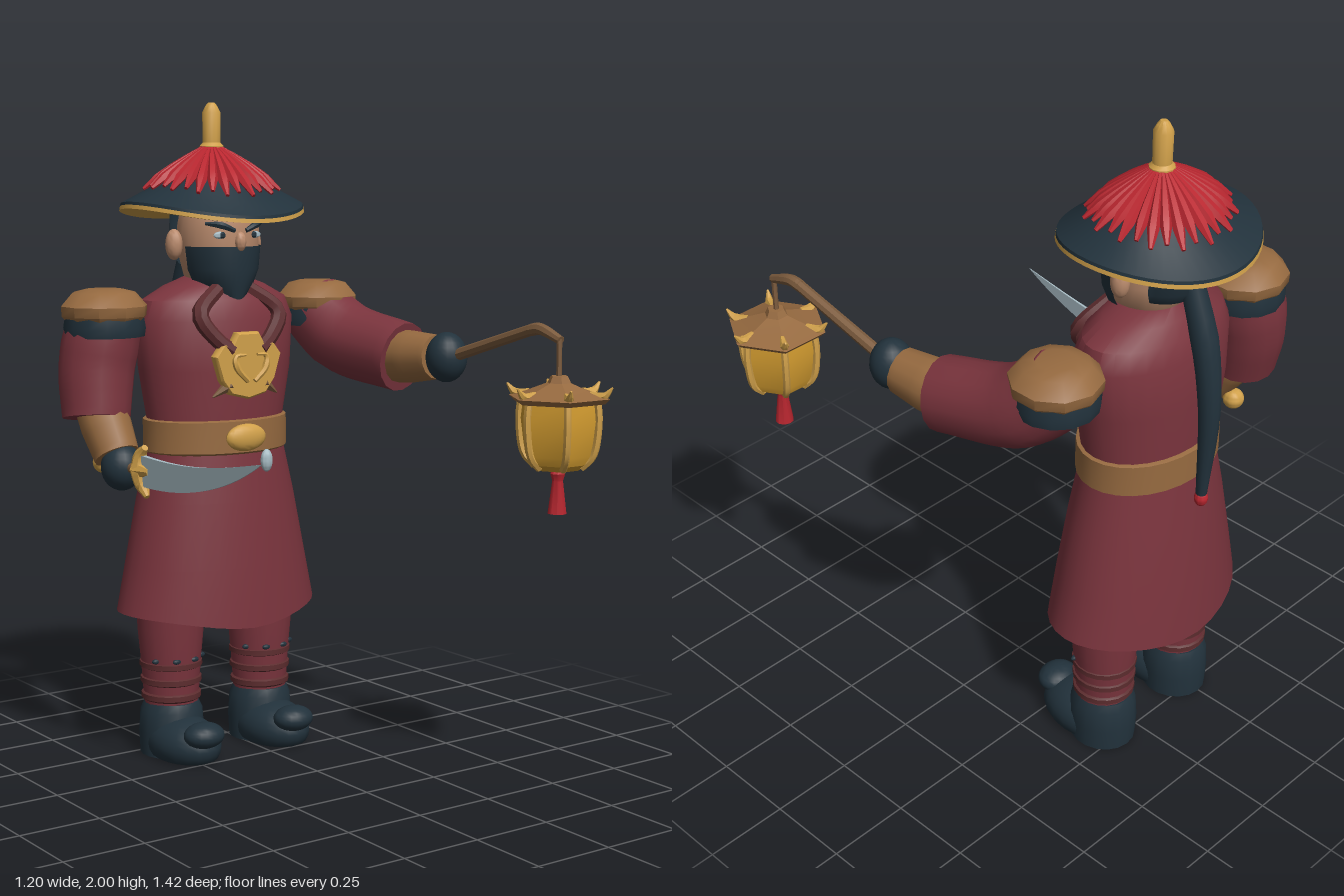
import * as THREE from 'three';
import { toCreasedNormals } from 'three/addons/utils/BufferGeometryUtils.js';

const mat = (name, color, side = THREE.FrontSide) => {
  const m = new THREE.MeshStandardMaterial({ color, side });
  m.name = name;
  return m;
};
const V = (p) => new THREE.Vector3(...p);

export function createModel() {
  const robe = mat('robe red', 0x7a343d, THREE.DoubleSide);
  const dark = mat('dark cloth', 0x22323c, THREE.DoubleSide);
  const leather = mat('tan leather', 0x966a40);
  const gold = mat('gold', 0xd0a04a, THREE.DoubleSide);
  const glow = mat('lantern amber', 0xd39c30);
  const red = mat('bright red', 0xb8262f);
  const skin = mat('skin', 0xb98a6c);
  const steel = mat('steel', 0xa6bac2);
  const strap = mat('dark maroon strap', 0x5c2c2e);
  const wood = mat('wood', 0x7d5c3e);

  const model = new THREE.Group();
  const CX = -0.08, CZ = -0.435;
  const add = (name, geo, material, parent = model, crease = 0.7) => {
    const m = new THREE.Mesh(toCreasedNormals(geo, crease), material);
    m.name = name;
    parent.add(m);
    return m;
  };
  const group = (name, x = 0, y = 0, z = 0) => {
    const g = new THREE.Group();
    g.name = name;
    g.position.set(x, y, z);
    model.add(g);
    return g;
  };
  // Stacked elliptical rings, top to bottom: [y, rx, rz, centreZ]
  const loft = (rings, n = 28, open = false, start = 0, sweep = Math.PI * 2) => {
    const g = new THREE.CylinderGeometry(1, 1, 1, n, rings.length - 1, open, start, sweep);
    const p = g.attributes.position;
    for (let i = 0; i < p.count; i++) {
      const [y, rx, rz = rx, cz = 0] = rings[Math.round((0.5 - p.getY(i)) * (rings.length - 1))];
      p.setXYZ(i, p.getX(i) * rx, y, p.getZ(i) * rz + cz);
    }
    return g;
  };
  // Closed tube along points, with radii spread evenly along it
  const limb = (points, radii, n = 12, seg = 14) => {
    const curve = points.length > 2 ? new THREE.CatmullRomCurve3(points.map(V)) : new THREE.LineCurve3(...points.map(V));
    const g = new THREE.TubeGeometry(curve, seg, 1, n);
    const p = g.attributes.position, v = new THREE.Vector3();
    for (let i = 0; i < p.count; i++) {
      const ring = Math.floor(i / (n + 1));
      const u = Math.min(1, Math.max(0, (ring - 1) / (seg - 2)));
      const f = u * (radii.length - 1), k = Math.min(radii.length - 2, Math.floor(f));
      const r = ring === 0 || ring === seg ? 0 : THREE.MathUtils.lerp(radii[k], radii[k + 1], f - k);
      v.fromBufferAttribute(p, i).sub(curve.getPointAt(ring / seg)).multiplyScalar(r).add(curve.getPointAt(u));
      p.setXYZ(i, v.x, v.y, v.z);
    }
    return g;
  };
  const ball = (x, y, z, rx, ry = rx, rz = rx) => new THREE.SphereGeometry(1, 20, 14).scale(rx, ry, rz).translate(x, y, z);

  // Robe: torso, flared skirt, belt
  const body = group('body', CX, 0, CZ);
  add('torso', loft([[1.48, 0.085, 0.08], [1.45, 0.17, 0.11], [1.41, 0.245, 0.14], [1.35, 0.268, 0.16], [1.2, 0.255, 0.172], [1.05, 0.228, 0.162], [0.94, 0.23, 0.165]]), robe, body);
  const skirt = loft([[0.96, 0.228, 0.163], [0.8, 0.265, 0.185], [0.6, 0.305, 0.208], [0.435, 0.335, 0.222]], 32, true);
  const sp = skirt.attributes.position;
  for (let i = 0; i < sp.count; i++) {
    if (sp.getY(i) < 0.5) sp.setY(i, 0.435 - 0.022 * Math.cos(2 * Math.atan2(sp.getX(i), sp.getZ(i))));
  }
  add('skirt', skirt, robe, body);
  add('belt', loft([[1.05, 0.225, 0.16], [1.045, 0.238, 0.174], [0.95, 0.238, 0.176], [0.94, 0.225, 0.16]]), leather, body);
  add('buckle', ball(0, 0.995, 0.175, 0.07, 0.042, 0.025), gold, body);
  add('beltCharm', ball(0.068, 0.92, 0.185, 0.02, 0.035, 0.015), steel, body);

  // Chest strap and pendant
  for (const s of [-1, 1]) {
    add('chestStrap', limb([[s * 0.045, 1.45, 0.1], [s * 0.14, 1.37, 0.142], [s * 0.1, 1.3, 0.165], [s * 0.05, 1.26, 0.18]], [0.024, 0.026, 0.022], 8), strap, body);
    add('pendantSpike', limb([[s * 0.06, 1.16, 0.18], [s * 0.115, 1.125, 0.17]], [0.02, 0.003], 6, 6), wood, body);
    add('pendantHorn', limb([[s * 0.012, 1.17, 0.207], [s * 0.05, 1.21, 0.208], [s * 0.055, 1.245, 0.205], [s * 0.02, 1.25, 0.208]], [0.008, 0.011, 0.004], 6), gold, body);
  }
  const outline = [[0, -0.095], [0.06, -0.08], [0.09, -0.04], [0.112, 0.03], [0.085, 0.065], [0.055, 0.06], [0.035, 0.095]];
  const shield = new THREE.Shape([...outline, ...outline.slice(1).reverse().map(([x, y]) => [-x, y])].map(([x, y]) => new THREE.Vector2(x, y)));
  add('pendant', new THREE.ExtrudeGeometry(shield, { depth: 0.02, bevelSize: 0.006, bevelThickness: 0.008, bevelSegments: 1 }).translate(0, 1.215, 0.167), gold, body);

  // Head, mask, hair
  const head = group('head', CX, 0, -0.41);
  add('skull', loft([[1.77, 0.05], [1.7, 0.112], [1.63, 0.125], [1.55, 0.124], [1.48, 0.105, 0.11], [1.42, 0.055, 0.07, 0.02]]), skin, head, 1.2);
  add('neck', loft([[1.52, 0.075, 0.08, -0.02], [1.42, 0.08, 0.085, -0.02]]), skin, head);
  const mask = loft([[1.57, 0.129, 0.13], [1.5, 0.12, 0.13], [1.45, 0.095, 0.122], [1.39, 0.035, 0.11]], 20, true, -1.45, 2.9);
  add('mask', mask, dark, head);
  add('backHair', loft([[1.69, 0.1, 0.13, -0.02], [1.66, 0.13, 0.155, -0.02], [1.55, 0.128, 0.155, -0.02], [1.51, 0.1, 0.125, -0.02]], 16, true, Math.PI - 1.05, 2.1), dark, head);
  add('nose', ball(0, 1.585, 0.124, 0.018, 0.03, 0.018), skin, head);
  for (const s of [-1, 1]) {
    add('ear', ball(s * 0.142, 1.575, -0.025, 0.026, 0.047, 0.028), skin, head);
    add('eye', ball(s * 0.06, 1.605, 0.107, 0.024, 0.011, 0.008), steel, head);
    add('pupil', ball(s * 0.056, 1.605, 0.113, 0.01, 0.01, 0.005), dark, head);
    add('brow', limb([[s * 0.02, 1.618, 0.125], [s * 0.06, 1.634, 0.117], [s * 0.1, 1.64, 0.085]], [0.007, 0.011, 0.005], 6), dark, head);
  }
  add('braid', limb([[CX, 1.58, -0.56], [CX, 1.4, -0.62], [CX, 1.2, -0.648], [CX, 0.91, -0.638]], [0.034, 0.04, 0.034, 0.026, 0.016]), dark);
  add('braidBead', ball(CX, 0.895, -0.638, 0.02, 0.026, 0.02), red);

  // Hat: the brim droops at front and back
  const hat = group('hat', CX, 0, -0.443);
  const droop = (g) => {
    const p = g.attributes.position;
    for (let i = 0; i < p.count; i++) {
      const x = p.getX(i), z = p.getZ(i);
      p.setXYZ(i, x, p.getY(i) + 0.25 * (x * x - z * z), z * 0.94);
    }
    return g;
  };
  const lathe = (pts) => droop(new THREE.LatheGeometry(pts.map(([x, y]) => new THREE.Vector2(x, y)), 48));
  add('hatCrown', lathe([[0.285, 1.674], [0.283, 1.685], [0.2, 1.735], [0.12, 1.8], [0.04, 1.86], [0, 1.865]]), dark, hat);
  add('hatLining', lathe([[0, 1.71], [0.1, 1.7], [0.272, 1.662], [0.287, 1.664], [0.285, 1.676]]), gold, hat);
  const strands = 30;
  for (let i = 0; i < strands; i++) {
    const end = i % 2 ? 0.212 : 0.198;
    const g = limb([[0.025, 1.868, 0], [0.12, 1.803, 0], [end, 1.74 - (end - 0.2) * 0.6, 0]], [0.005, 0.011, 0.015, 0.017, 0.006], 6, 10);
    add('hatStrand', droop(g.rotateY((i / strands) * Math.PI * 2)), red, hat);
  }
  add('finial', loft([[2, 0.01], [1.99, 0.018], [1.97, 0.028], [1.88, 0.027], [1.87, 0.036], [1.855, 0.036]], 12), gold, hat);

  // Legs and boots
  for (const s of [-1, 1]) {
    const leg = group(s > 0 ? 'leftLeg' : 'rightLeg', CX + s * 0.165, 0, -0.44);
    add('trouser', loft([[0.6, 0.105], [0.4, 0.103], [0.28, 0.092], [0.1, 0.08]], 18), robe, leg);
    for (let i = 0; i < 3; i++) {
      const y = 0.185 + i * 0.05;
      add('legWrap', loft([[y + 0.015, 0.083], [y + 0.008, 0.093 + i * 0.002], [y - 0.008, 0.093 + i * 0.002], [y - 0.015, 0.083]], 18), strap, leg);
    }
    for (let i = 0; i < 4; i++) {
      const a = (i - 1.5) * 0.7;
      add('wrapKnot', ball(0.093 * Math.sin(a), 0.305, 0.093 * Math.cos(a), 0.014, 0.008, 0.008), dark, leg);
    }
    add('bootShaft', loft([[0.165, 0.083, 0.09], [0.14, 0.095, 0.1], [0.07, 0.1, 0.105], [0, 0.096, 0.102]], 18), dark, leg);
    const foot = ball(0, 0.045, 0.07, 0.103, 0.085, 0.15), p = foot.attributes.position;
    for (let i = 0; i < p.count; i++) p.setY(i, Math.max(0, p.getY(i)));
    add('bootFoot', foot, dark, leg);
    add('bootToe', ball(0, 0.093, 0.19, 0.065, 0.04, 0.056), dark, leg);
  }

  // Shoulder pads
  for (const x of [-0.46, 0.315]) {
    const pad = group('shoulder', x, 0, -0.445);
    add('shoulderPad', loft([[1.45, 0.055], [1.44, 0.095], [1.4, 0.13], [1.37, 0.128], [1.35, 0.11]], 10), leather, pad);
    add('shoulderBand', loft([[1.37, 0.118], [1.335, 0.124], [1.31, 0.12]], 14, true), dark, pad);
  }

  // Sword arm
  add('rightSleeve', limb([[-0.45, 1.38, -0.445], [-0.485, 1.22, -0.45], [-0.503, 1.07, -0.425]], [0.11, 0.117, 0.112, 0.102], 16), robe);
  add('rightForearm', limb([[-0.495, 1.13, -0.44], [-0.487, 0.965, -0.335]], [0.072, 0.076, 0.068], 14), leather);
  add('rightGlove', ball(-0.485, 0.935, -0.31, 0.062, 0.07, 0.062), dark);

  // Lantern arm
  add('leftSleeve', limb([[0.305, 1.37, -0.46], [0.345, 1.275, -0.34], [0.397, 1.225, -0.1]], [0.11, 0.118, 0.112, 0.108], 16), robe);
  add('leftForearm', limb([[0.385, 1.225, -0.15], [0.41, 1.237, 0.05]], [0.082, 0.08, 0.068], 14), leather);
  add('leftGlove', ball(0.41, 1.24, 0.095, 0.064, 0.076, 0.062), dark);

  // Curved sword, drawn along +z
  const sword = group('sword', -0.485, 0, 0);
  add('grip', limb([[0, 0.935, -0.41], [0, 0.94, -0.18]], [0.016, 0.016], 10), wood, sword);
  add('pommel', ball(0, 0.935, -0.42, 0.032), gold, sword);
  add('guard', limb([[0, 0.865, -0.165], [0, 0.9, -0.195], [0, 0.945, -0.205], [0, 0.985, -0.2], [0, 1.008, -0.175]], [0.008, 0.022, 0.03, 0.022, 0.01], 8), gold, sword);
  add('bladeCollar', limb([[0, 0.94, -0.21], [0, 0.94, -0.15]], [0.032, 0.012], 8), gold, sword);
  const edge = new THREE.Shape();
  edge.moveTo(-0.2, 0.895);
  edge.bezierCurveTo(0.02, 0.885, 0.25, 0.93, 0.43, 1.035);
  edge.bezierCurveTo(0.28, 1.01, 0.1, 0.965, -0.2, 0.985);
  const blade = new THREE.ExtrudeGeometry(edge, { depth: 0.016, bevelEnabled: false, curveSegments: 16 }).translate(0, 0, -0.008);
  const bp = blade.attributes.position;
  for (let i = 0; i < bp.count; i++) bp.setZ(i, bp.getZ(i) * (1 - 0.85 * (bp.getX(i) + 0.2) / 0.63));
  add('blade', blade.rotateY(-Math.PI / 2), steel, sword);

  // Pole and hanging lantern
  add('pole', limb([[0.408, 1.225, 0.06], [0.43, 1.352, 0.47]], [0.019, 0.017], 8), wood);
  add('poleTip', limb([[0.429, 1.347, 0.455], [0.431, 1.352, 0.49], [0.433, 1.325, 0.575]], [0.018, 0.017, 0.013], 8), wood);
  add('hook', limb([[0.433, 1.33, 0.57], [0.433, 1.2, 0.57]], [0.008, 0.008], 6), wood);
  const lantern = group('lantern', 0.433, 0, 0.572);
  lantern.rotation.y = Math.PI / 6;
  add('lanternRoof', loft([[1.225, 0.025], [1.205, 0.035], [1.185, 0.085], [1.165, 0.15], [1.15, 0.135]], 6), leather, lantern, 0.3);
  add('lanternBody', loft([[1.16, 0.108], [1.1, 0.115], [1.0, 0.1], [0.975, 0.088], [0.957, 0.06]], 6), glow, lantern, 0.3);
  for (let i = 0; i < 6; i++) {
    const a = i * Math.PI / 3;
    add('lanternRib', limb([[0, 1.165, 0.112], [0, 1.1, 0.118], [0, 1.0, 0.103], [0, 0.965, 0.07]], [0.011, 0.011], 6).rotateY(a), gold, lantern);
    add('roofSpike', limb([[0, 1.178, 0.09], [0, 1.172, 0.13], [0, 1.198, 0.156]], [0.008, 0.014, 0.003], 6).rotateY(a), gold, lantern);
  }
  add('tassel', loft([[0.965, 0.012], [0.945, 0.022], [0.925, 0.016], [0.83, 0.028]], 10), red, lantern);

  return model;
}
